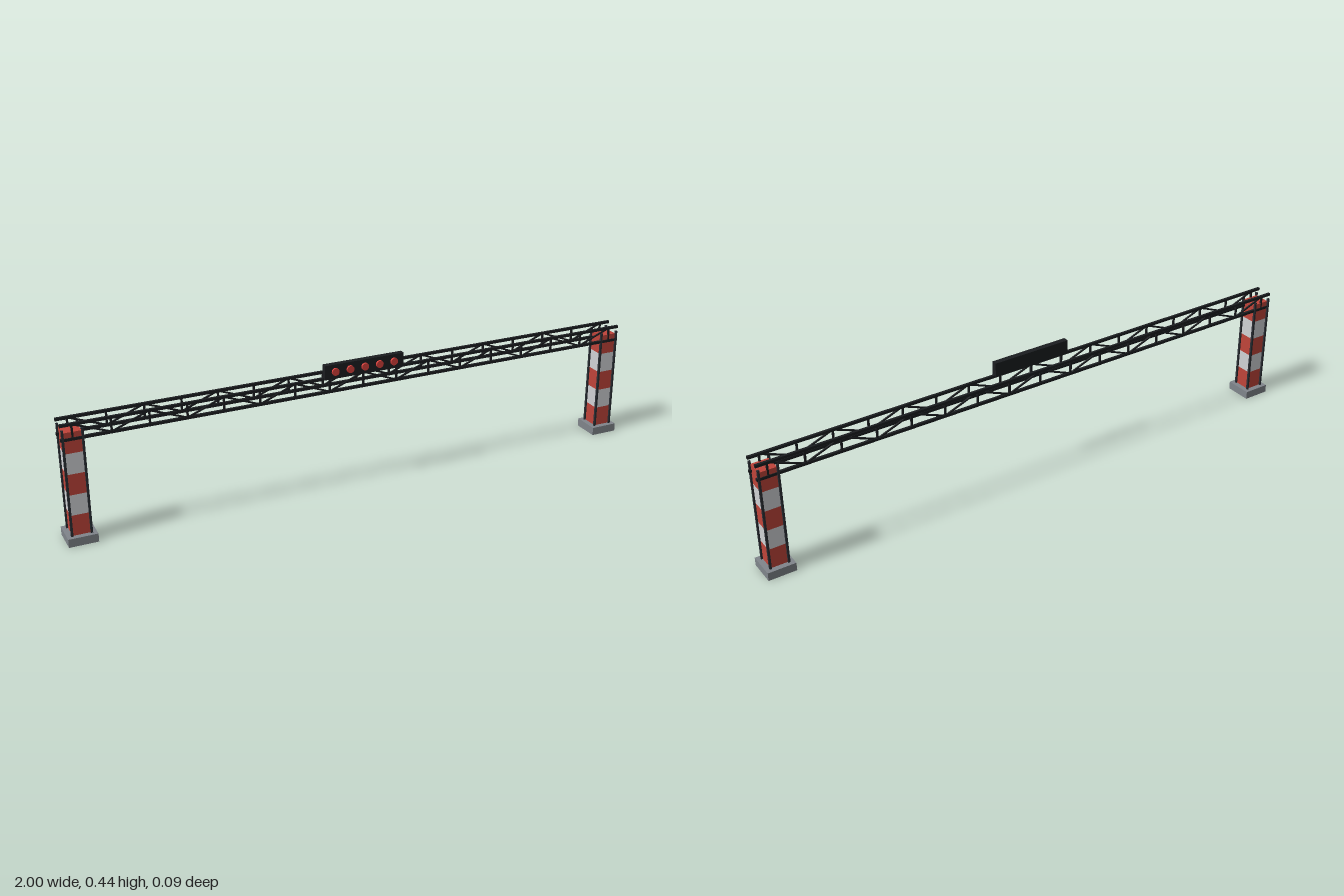
import * as THREE from 'three';

const mat = (color) => new THREE.MeshStandardMaterial({ color });

export function createModel() {
  const model = new THREE.Group();
  model.name = 'signalGantry';
  const red = mat(0xc0443a), white = mat(0xd0d2d5), concrete = mat(0x80858b);
  const steel = mat(0x2a2e34), dark = mat(0x1b1d20), lampRed = mat(0xd8403c);

  function box(parent, name, material, w, h, d, x, y, z) {
    const mesh = new THREE.Mesh(new THREE.BoxGeometry(w, h, d), material);
    mesh.position.set(x, y, z);
    mesh.name = name;
    parent.add(mesh);
    return mesh;
  }

  const towerX = 0.953, baseH = 0.028, bandH = 0.0688;

  // Banded towers with corner posts on concrete footings
  for (const side of [-1, 1]) {
    const tower = new THREE.Group();
    tower.name = side > 0 ? 'leftTower' : 'rightTower';
    tower.position.x = side * towerX;
    box(tower, 'footing', concrete, 0.094, baseH, 0.094, 0, baseH / 2, 0);
    for (let i = 0; i < 5; i++) {
      box(tower, 'band', i % 2 ? white : red, 0.057, bandH, 0.057, 0, baseH + (i + 0.5) * bandH, 0);
    }
    for (const px of [-1, 1]) for (const pz of [-1, 1]) {
      box(tower, 'cornerPost', steel, 0.007, 0.354, 0.007, px * 0.0305, baseH + 0.177, pz * 0.0305);
    }
    model.add(tower);
  }

  // Two parallel trusses spanning the towers
  const topY = 0.3965, bottomY = 0.3495, panels = 16, step = 2 * towerX / panels;
  for (const z of [0.0275, -0.0265]) {
    const truss = new THREE.Group();
    truss.name = z > 0 ? 'frontTruss' : 'backTruss';
    for (const y of [topY, bottomY]) box(truss, 'chord', dark, 1.98, 0.009, 0.009, 0, y, z);
    for (let i = 0; i <= panels; i++) {
      const x = -towerX + i * step;
      box(truss, 'vertical', dark, 0.006, topY - bottomY, 0.006, x, (topY + bottomY) / 2, z);
      if (i === panels) continue;
      // Diagonals zigzag: down on even panels, up on odd ones
      const rise = (topY - bottomY) * (i % 2 ? 1 : -1);
      const brace = box(truss, 'diagonal', dark, Math.hypot(step, rise), 0.005, 0.005,
        x + step / 2, (topY + bottomY) / 2, z);
      brace.rotation.z = Math.atan2(rise, step);
    }
    model.add(truss);
  }

  // Signal board with five round lamps
  const signal = new THREE.Group();
  signal.name = 'signalBoard';
  box(signal, 'housing', dark, 0.28, 0.047, 0.019, 0, 0.4205, 0.03);
  const lampGeometry = new THREE.CylinderGeometry(0.0125, 0.0125, 0.009, 16).rotateX(Math.PI / 2);
  for (let i = -2; i <= 2; i++) {
    const lamp = new THREE.Mesh(lampGeometry, lampRed);
    lamp.name = 'lamp';
    lamp.position.set(i * 0.052, 0.4205, 0.042);
    signal.add(lamp);
  }
  model.add(signal);
  return model;
}
